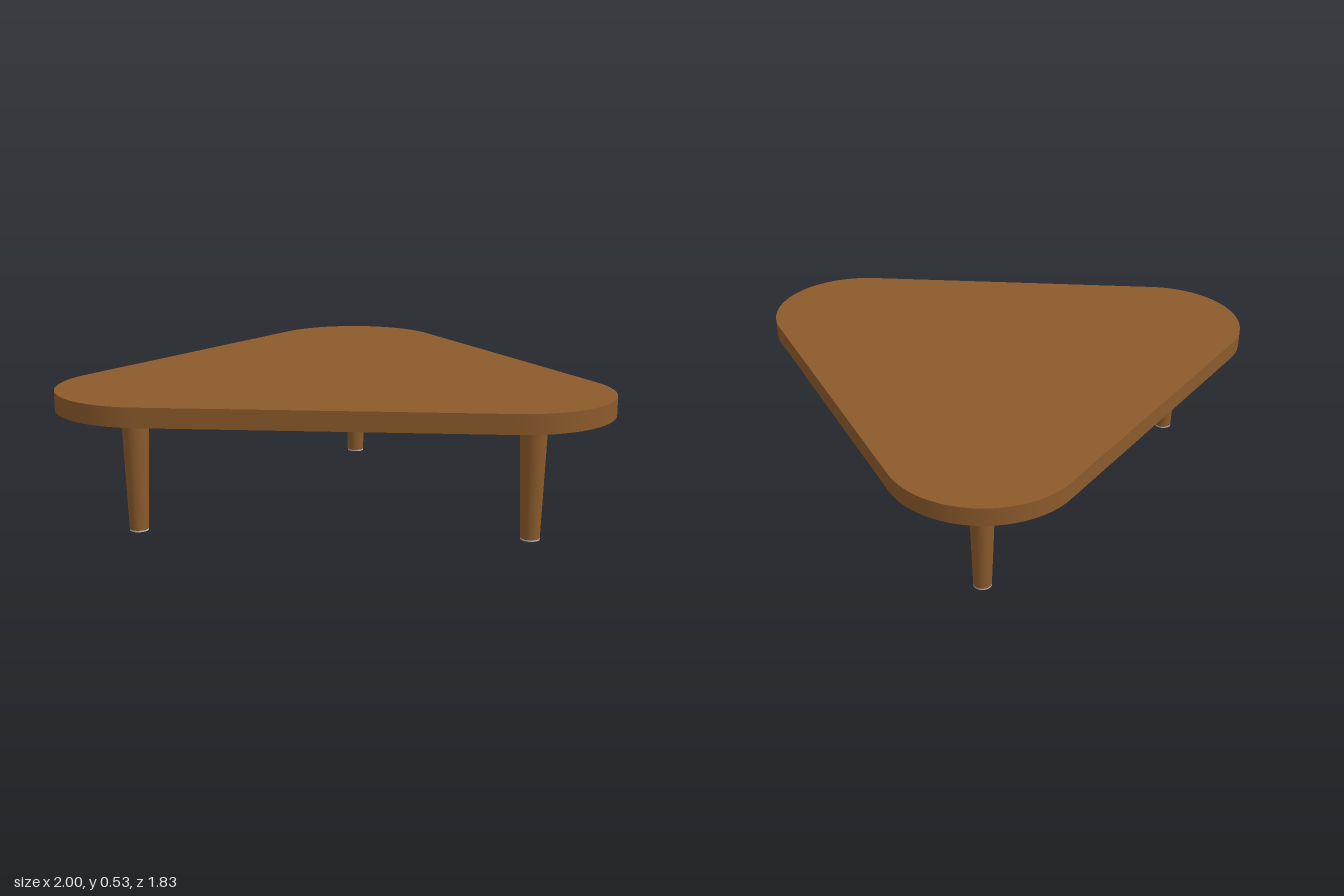
import * as THREE from 'three';
import { toCreasedNormals } from 'three/addons/utils/BufferGeometryUtils.js';

const TOP_Y = 0.53, UNDER_Y = 0.46, PAD = 0.006;
const CENTRE_Z = 0.182;   // middle of the triangle
const CORNER_DIST = 0.731, CORNER_R = 0.365, LEG_DIST = 0.82;

export function createModel() {
  const wood = new THREE.MeshStandardMaterial({ color: 0x8b5a2b });
  wood.name = 'walnut wood';
  const grey = new THREE.MeshStandardMaterial({ color: 0xb4b8bc });
  grey.name = 'grey glide';

  const table = new THREE.Group();
  table.name = 'triangularTable';

  // Rounded triangle: three corner arcs joined by straight edges
  const outline = new THREE.Shape();
  for (let i = 0; i < 3; i++) {
    const a = Math.PI / 2 + i * Math.PI * 2 / 3;
    outline.absarc(Math.cos(a) * CORNER_DIST, Math.sin(a) * CORNER_DIST,
      CORNER_R, a - Math.PI / 3, a + Math.PI / 3, false);
  }
  outline.closePath();
  const slab = new THREE.ExtrudeGeometry(outline, {
    depth: TOP_Y - UNDER_Y, bevelEnabled: false, curveSegments: 32,
  });
  slab.rotateX(-Math.PI / 2);
  const top = new THREE.Mesh(toCreasedNormals(slab, 0.6), wood);
  top.name = 'tabletop';
  top.position.set(0, UNDER_Y, CENTRE_Z);
  table.add(top);

  // Tapered legs, one beneath each corner, each with a thin glide
  const legGeo = new THREE.CylinderGeometry(0.051, 0.035, UNDER_Y - PAD, 32);
  const padGeo = new THREE.CylinderGeometry(0.035, 0.035, PAD, 32);
  ['backLeg', 'frontRightLeg', 'frontLeftLeg'].forEach((name, i) => {
    const a = Math.PI / 2 + i * Math.PI * 2 / 3;
    const group = new THREE.Group();
    group.name = name;
    group.position.set(Math.cos(a) * LEG_DIST, 0, CENTRE_Z - Math.sin(a) * LEG_DIST);
    const leg = new THREE.Mesh(legGeo, wood);
    leg.name = 'taperedLeg';
    leg.position.y = (UNDER_Y + PAD) / 2;
    const pad = new THREE.Mesh(padGeo, grey);
    pad.name = 'footGlide';
    pad.position.y = PAD / 2;
    group.add(leg, pad);
    table.add(group);
  });

  return table;
}
